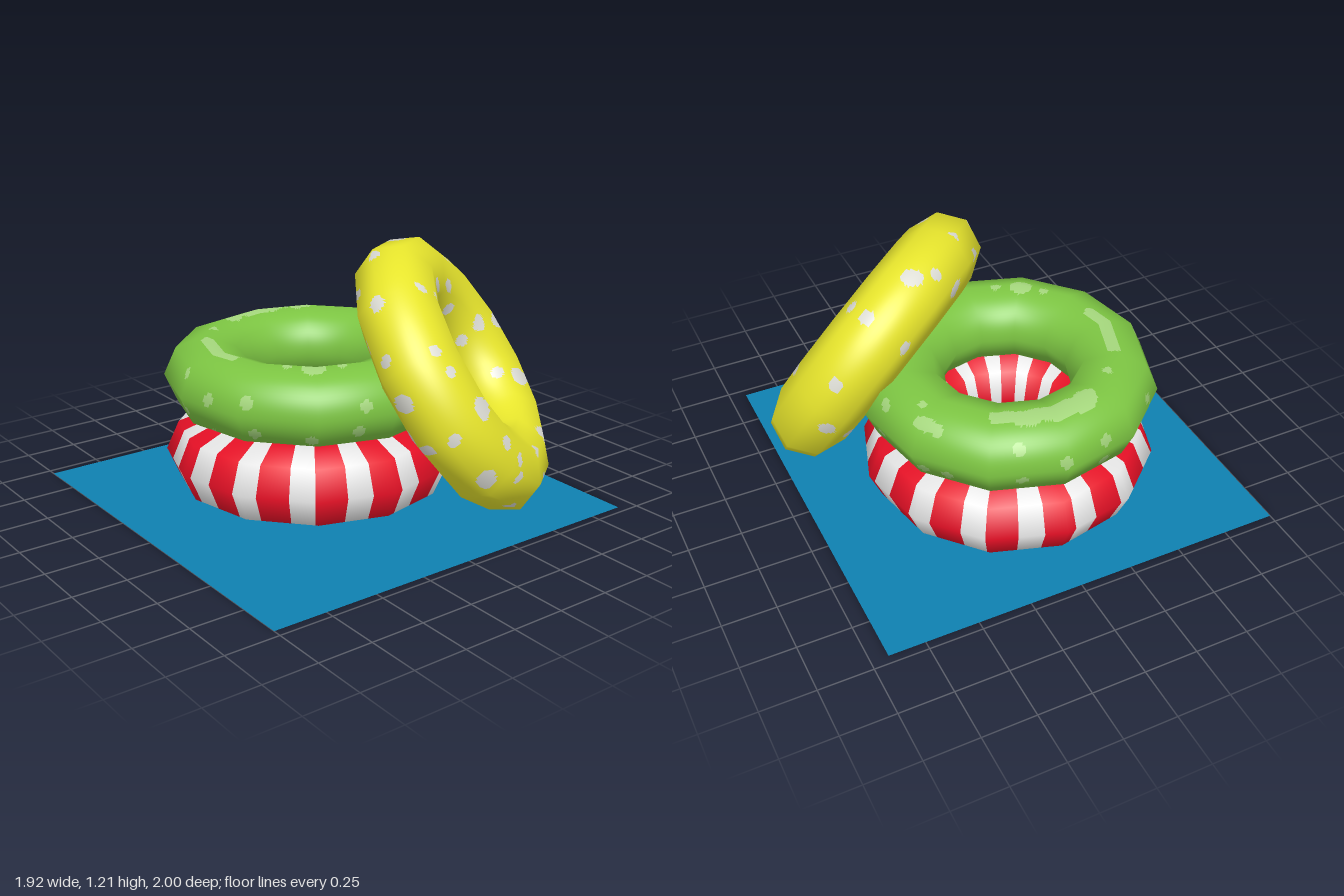
import * as THREE from 'three';

const mat = (name, color, extra = {}) =>
  Object.assign(new THREE.MeshStandardMaterial({ color, ...extra }), { name });

const SIDES = 12, TUBE = 8;      // coarse shape of every swim ring
const RAD = Math.PI / 180;

// Fine grid lying on a coarse 12 x 8 torus, with smooth interpolated normals
function ringGrid({ R, a, b, phase, matrix }, nt, ns) {
  const corner = (i, j) => {
    const t = phase * RAD + (i / SIDES) * Math.PI * 2, s = (j / TUBE) * Math.PI * 2;
    const r = R + a * Math.cos(s), n = Math.cos(s) / a;
    return {
      p: new THREE.Vector3(r * Math.cos(t), b * Math.sin(s), r * Math.sin(t)),
      n: new THREE.Vector3(n * Math.cos(t), Math.sin(s) / b, n * Math.sin(t)).normalize(),
    };
  };
  const points = [], normals = [];
  for (let i = 0; i <= nt; i++) for (let j = 0; j <= ns; j++) {
    const u = (i / nt) * SIDES, v = (j / ns) * TUBE;
    const i0 = Math.floor(u), j0 = Math.floor(v), fu = u - i0, fv = v - j0;
    const c = [corner(i0, j0), corner(i0 + 1, j0), corner(i0, j0 + 1), corner(i0 + 1, j0 + 1)];
    const mix = (k) => c[0][k].clone().lerp(c[1][k], fu).lerp(c[2][k].clone().lerp(c[3][k], fu), fv);
    points.push(mix('p').applyMatrix4(matrix));
    normals.push(mix('n').transformDirection(matrix));
  }
  return { points, normals };
}

// Ring mesh; paint(centre, i) picks material 0 or 1 for each cell
function ringMesh(name, grid, nt, ns, materials, paint) {
  const lists = [[], []], centre = new THREE.Vector3();
  for (let i = 0; i < nt; i++) for (let j = 0; j < ns; j++) {
    const p = i * (ns + 1) + j, q = p + ns + 1;
    for (const tri of [[p, p + 1, q], [p + 1, q + 1, q]]) {
      centre.set(0, 0, 0);
      tri.forEach((k) => centre.addScaledVector(grid.points[k], 1 / 3));
      lists[paint(centre, i)].push(...tri);
    }
  }
  const flat = (list) => new THREE.Float32BufferAttribute(list.flatMap((v) => [v.x, v.y, v.z]), 3);
  const geo = new THREE.BufferGeometry();
  geo.setAttribute('position', flat(grid.points));
  geo.setAttribute('normal', flat(grid.normals));
  geo.setIndex(lists[0].concat(lists[1]));
  geo.addGroup(0, lists[0].length, 0);
  geo.addGroup(lists[0].length, lists[1].length, 1);
  const mesh = new THREE.Mesh(geo, materials);
  mesh.name = name;
  return mesh;
}

// Side a spot is laid on from: [first axis, second axis, depth axis, sign]
const FACES = {
  front: ['x', 'y', 'z', 1], back: ['x', 'y', 'z', -1],
  left: ['z', 'y', 'x', 1], right: ['z', 'y', 'x', -1], top: ['x', 'z', 'y', 1],
};

// Drop each spot [a, b, radius] onto the nearest surface of the ring
function placeSpots(points, spots) {
  const placed = [];
  for (const face in spots) {
    const [A, B, D, sign] = FACES[face];
    for (const [a, b, r] of spots[face]) {
      let best = null;
      for (const p of points)
        if (Math.hypot(p[A] - a, p[B] - b) < 0.02 && (!best || (p[D] - best[D]) * sign > 0)) best = p;
      if (best) placed.push({ p: best, r });
    }
  }
  return placed;
}

function spottedRing(name, shape, materials, spots) {
  const nt = 288, ns = 72, grid = ringGrid(shape, nt, ns);
  const placed = placeSpots(grid.points, spots);
  return ringMesh(name, grid, nt, ns, materials,
    (c) => (placed.some(({ p, r }) => p.distanceToSquared(c) < r * r) ? 1 : 0));
}

export function createModel() {
  const blue = mat('poolBlue', 0x0e80b0, { side: THREE.DoubleSide });
  const red = mat('red', 0xe81026), white = mat('white', 0xe6e6e6);
  const green = mat('green', 0x7cc442), paleGreen = mat('paleGreen', 0xa4d67c);
  const yellow = mat('yellow', 0xe6e42c), spotWhite = mat('spotWhite', 0xdcdcd4);
  const group = new THREE.Group();
  group.name = 'swimRings';

  // Water square
  const water = new THREE.Mesh(new THREE.PlaneGeometry(1.92, 1.92), blue);
  water.name = 'waterSquare';
  water.rotation.x = -Math.PI / 2;
  water.position.z = 0.04;
  group.add(water);

  // Striped ring lying at the bottom: 16 white stripes
  const lying = (y) => new THREE.Matrix4().makeTranslation(-0.13, y, 0.04);
  const flatRing = { R: 0.49, a: 0.198, phase: 3 };
  const stripedGrid = ringGrid({ ...flatRing, b: 0.187, matrix: lying(0.191) }, 288, TUBE);
  group.add(ringMesh('stripedRing', stripedGrid, 288, TUBE, [red, white], (c, i) => {
    const deg = 3 + (i + 0.5) * 1.25;
    return (deg - 84 + 5 + 360) % 22.5 < 10 ? 1 : 0;
  }));

  // Green ring on top of it, with dots and long pale patches
  const patches = [];
  for (let k = 0; k <= 14; k++) {
    const f = k / 14, long = (163 + f * 50) * RAD, short = (82 + f * 36) * RAD;
    patches.push([-0.13 + 0.51 * Math.cos(long), 0.04 + 0.51 * Math.sin(long), 0.052 - 0.018 * f]);
    patches.push([-0.13 + 0.49 * Math.cos(short), 0.04 + 0.49 * Math.sin(short), 0.034]);
  }
  const dots = (list, r) => list.map(([a, b]) => [a, b, r]);
  const sideDots = dots([[-0.46, 0.47], [-0.2, 0.67], [-0.19, 0.49], [-0.01, 0.61], [0.21, 0.62], [0.22, 0.47]], 0.028);
  group.add(spottedRing('greenRing', { ...flatRing, b: 0.184, matrix: lying(0.562) }, [green, paleGreen], {
    top: [...patches, [0.28, 0.33, 0.055], [0.33, 0.21, 0.025], [0.17, 0.4, 0.025], [-0.5, 0.35, 0.025],
      [-0.47, -0.48, 0.03], [-0.43, -0.5, 0.035], [-0.39, -0.52, 0.03], [-0.31, -0.48, 0.02],
      [0.27, -0.47, 0.035], [0.31, -0.43, 0.03]],
    front: [...sideDots, [-0.59, 0.6, 0.022], [-0.03, 0.41, 0.025], [0.4, 0.45, 0.025]],
    back: sideDots, left: sideDots, right: sideDots,
  }));

  // Yellow spotted ring leaning against the stack
  const axis = new THREE.Vector3(0.627, 0.536, -0.566).normalize();
  const across = new THREE.Vector3(-axis.z, 0, axis.x).normalize();
  const leaning = new THREE.Matrix4()
    .makeBasis(across, axis, across.clone().cross(axis))
    .setPosition(0.375, 0.607, -0.405);
  group.add(spottedRing('yellowRing', { R: 0.495, a: 0.2, b: 0.186, phase: 22, matrix: leaning }, [yellow, spotWhite], {
    left: [[-0.19, 1.02, 0.04], [-0.1, 1.1, 0.03], [-0.51, 0.98, 0.032], [-0.35, 1.03, 0.036], [-0.28, 0.9, 0.03],
      [-0.53, 0.82, 0.035], [-0.72, 0.76, 0.042], [0.02, 0.9, 0.03], [-0.02, 0.81, 0.03], [-0.13, 0.65, 0.052],
      [0.05, 0.52, 0.03], [-0.11, 0.32, 0.045], [-0.25, 0.47, 0.03], [-0.31, 0.27, 0.03], [-0.35, 0.37, 0.03],
      [-0.56, 0.32, 0.032], [-0.76, 0.31, 0.042], [-0.86, 0.5, 0.05], [-0.72, 0.53, 0.03], [-0.63, 0.14, 0.032],
      [-0.36, 0.09, 0.03], [-0.61, 0.67, 0.03]],
    top: [[0.06, -0.64, 0.032], [-0.07, -0.6, 0.035], [-0.02, -0.36, 0.05], [0.17, -0.88, 0.04]],
    front: [[0.02, 1, 0.045], [0.23, 1.01, 0.036], [0.19, 1.18, 0.03], [0, 1.14, 0.03], [0.45, 1.05, 0.038],
      [0.42, 0.84, 0.036], [0.6, 0.84, 0.03], [0.71, 0.66, 0.045], [0.64, 0.45, 0.052], [0.79, 0.45, 0.032],
      [0.67, 0.29, 0.03]],
    right: [[-0.85, 0.55, 0.04], [-0.6, 0.2, 0.04], [-0.45, 0.9, 0.035], [-0.8, 0.8, 0.035], [-0.7, 0.4, 0.035]],
  }));
  return group;
}
